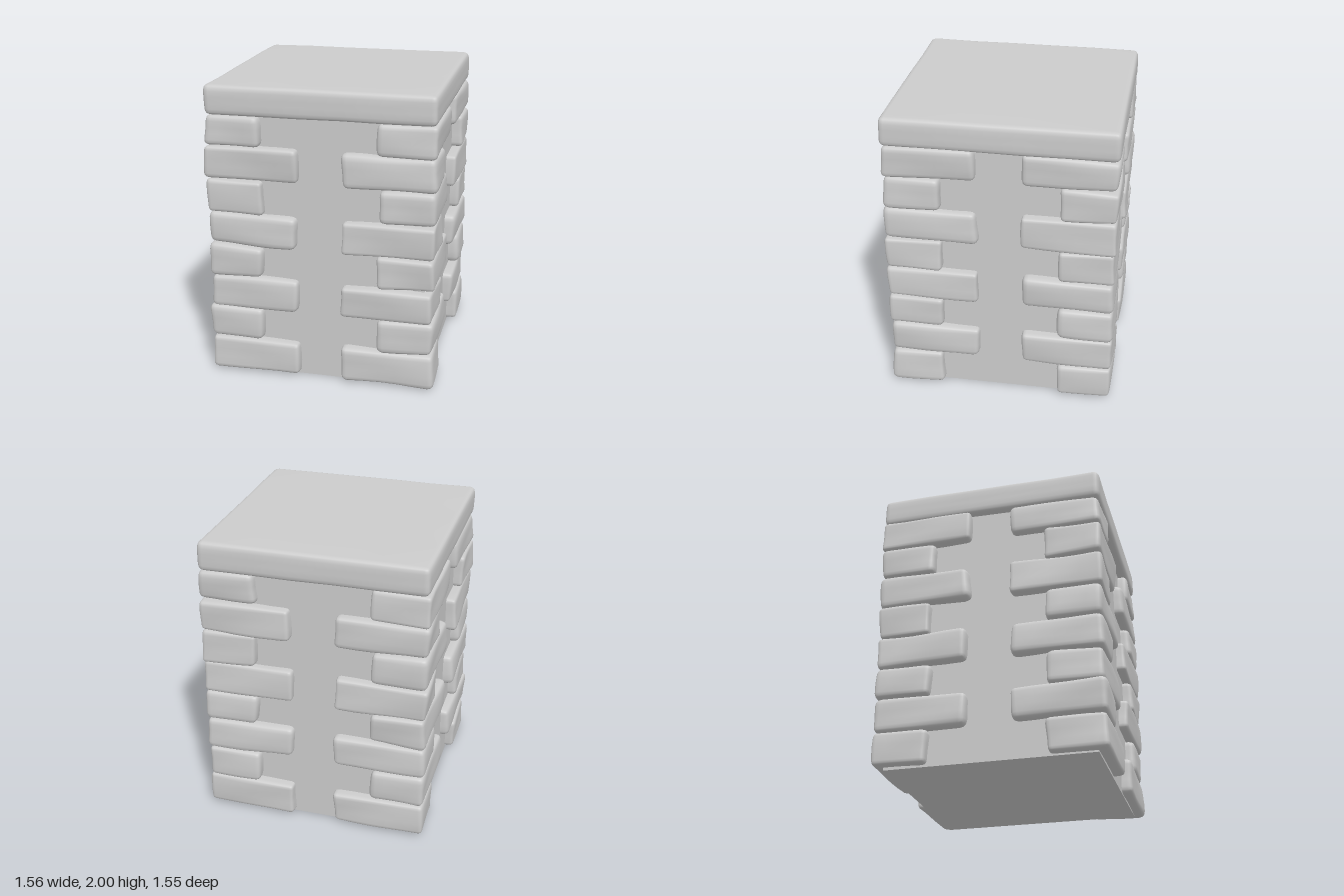
import * as THREE from 'three';
import { mergeVertices } from 'three/addons/utils/BufferGeometryUtils.js';

const material = new THREE.MeshStandardMaterial({ color: 0xcccccc });

// Small seeded generator, returns -1..1
let state = 7;
function jitter() {
  state = (state * 16807) % 2147483647;
  return (state / 2147483647) * 2 - 1;
}

// Grid lines along one axis: dense near both edges, even in between
function gridLines(half, r, inner) {
  const lines = [-half, -half + r * 0.4];
  for (let i = 0; i <= inner; i++) lines.push(-(half - r) + (2 * (half - r) * i) / inner);
  lines.push(half - r * 0.4, half);
  return lines;
}

// Worn stone block: rounded box with skewed corners and gentle dents
function stone(name, min, max, r, skew, dent) {
  const size = max.clone().sub(min);
  const center = min.clone().add(max).multiplyScalar(0.5);
  const inner = [5, 3, 5];
  const half = size.clone().multiplyScalar(0.5).toArray();
  const lines = half.map((h, a) => gridLines(h, r, inner[a]));
  const n = lines.map((l) => l.length - 1);
  let geo = new THREE.BoxGeometry(n[0], n[1], n[2], n[0], n[1], n[2]);
  geo.deleteAttribute('normal');
  geo.deleteAttribute('uv');
  geo = mergeVertices(geo);

  const corners = Array.from({ length: 8 }, () => [jitter() * skew, jitter() * skew * 0.8, jitter() * skew]);
  const phase = [jitter() * 3, jitter() * 3, jitter() * 3];
  const pos = geo.attributes.position;
  const p = new THREE.Vector3(), core = new THREE.Vector3(), dir = new THREE.Vector3();
  for (let i = 0; i < pos.count; i++) {
    p.fromArray([0, 1, 2].map((a) => lines[a][Math.round(pos.getComponent(i, a) + n[a] / 2)]));
    // round the edges
    core.fromArray([0, 1, 2].map((a) => THREE.MathUtils.clamp(p.getComponent(a), r - half[a], half[a] - r)));
    dir.copy(p).sub(core).normalize();
    p.copy(core).addScaledVector(dir, r);
    // shift by the blended corner offsets
    const t = [0, 1, 2].map((a) => p.getComponent(a) / (2 * half[a]) + 0.5);
    const shift = new THREE.Vector3();
    corners.forEach((c, k) => {
      const w = [0, 1, 2].reduce((s, a) => s * ((k >> a) & 1 ? t[a] : 1 - t[a]), 1);
      shift.x += c[0] * w;
      shift.y += c[1] * w;
      shift.z += c[2] * w;
    });
    // shallow dents along the surface direction
    const wave = Math.sin(p.x * 11 + phase[0]) * Math.sin(p.z * 11 + phase[2]) + Math.sin(p.y * 19 + p.x * 7 - p.z * 6 + phase[1]);
    p.add(shift).addScaledVector(dir, (wave - 0.6) * dent);
    pos.setXYZ(i, p.x, p.y, p.z);
  }
  geo.computeVertexNormals();
  const mesh = new THREE.Mesh(geo, material);
  mesh.name = name;
  mesh.position.copy(center);
  return mesh;
}

export function createModel() {
  state = 7;
  const group = new THREE.Group();
  group.name = 'stonePillar';

  // Plain recessed core
  const core = new THREE.Mesh(new THREE.BoxGeometry(1.39, 1.84, 1.39), material);
  core.name = 'core';
  core.position.y = 0.92;
  group.add(core);

  // Corner stones: long and short sides alternate row by row
  const rows = [0.008, 0.243, 0.47, 0.695, 0.915, 1.14, 1.37, 1.592, 1.81];
  const outer = 0.765;
  for (const sx of [-1, 1]) {
    for (const sz of [-1, 1]) {
      const corner = new THREE.Group();
      corner.name = `${sz > 0 ? 'front' : 'back'}${sx > 0 ? 'Left' : 'Right'}CornerStones`;
      for (let row = 0; row < 8; row++) {
        const longEnd = 0.143 + jitter() * 0.007;
        const shortEnd = 0.388 + jitter() * 0.008;
        const [endX, endZ] = row % 2 ? [shortEnd, longEnd] : [longEnd, shortEnd];
        const xs = [sx * endX, sx * outer].sort((a, b) => a - b);
        const zs = [sz * endZ, sz * outer].sort((a, b) => a - b);
        corner.add(stone(
          'cornerStone',
          new THREE.Vector3(xs[0], rows[row], zs[0]),
          new THREE.Vector3(xs[1], rows[row + 1], zs[1]),
          0.038 + jitter() * 0.008, 0.011, 0.004
        ));
      }
      group.add(corner);
    }
  }

  // Cap slab
  group.add(stone('capSlab', new THREE.Vector3(-0.76, 1.8, -0.767), new THREE.Vector3(0.76, 2, 0.767), 0.042, 0.003, 0.0012));
  return group;
}
